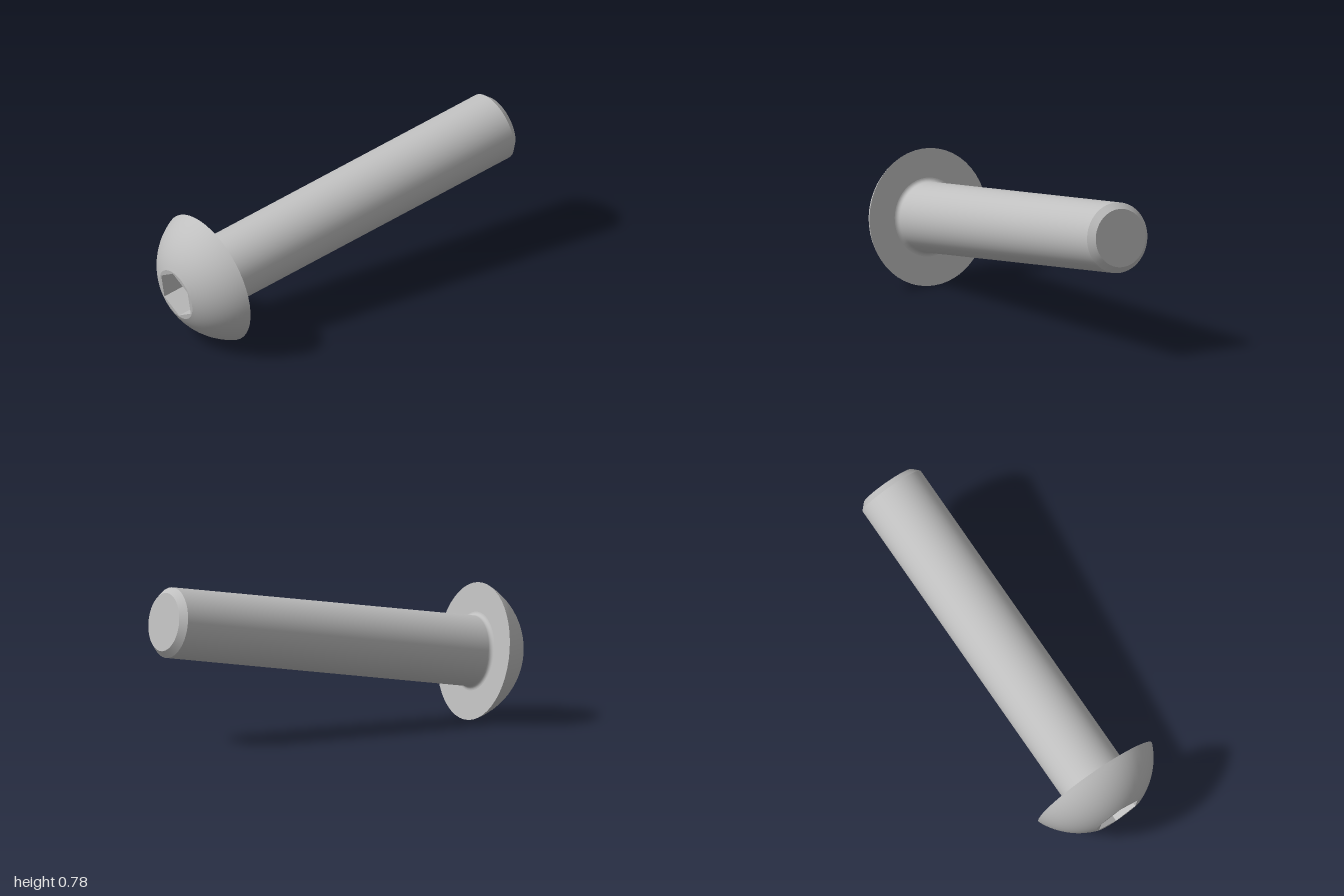
import * as THREE from 'three';

export function createModel() {
  const steel = new THREE.MeshStandardMaterial({ color: 0xbfbfbf, side: THREE.DoubleSide });
  steel.name = 'steel grey';

  const headR = 0.339, shaftR = 0.174, tipR = 0.1435, flatR = 0.132, hexR = 0.125;
  const domeR = 0.368, domeC = 0.143, length = 1.785, chamfer = 0.032, fillet = 0.02, depth = 0.135;
  const flatY = domeC - Math.sqrt(domeR ** 2 - flatR ** 2);

  // The screw is built along local +y, with the head's underside at y = 0
  const screw = new THREE.Group();
  screw.name = 'screw';
  const add = (name, geometry) => {
    const mesh = new THREE.Mesh(geometry, steel);
    mesh.name = name;
    screw.add(mesh);
  };
  const lathe = (name, pts) =>
    add(name, new THREE.LatheGeometry(pts.map(([r, y]) => new THREE.Vector2(r, y)), 48));

  // Domed head: a slice of a sphere
  const dome = [];
  const a0 = Math.asin(flatR / domeR), a1 = Math.acos(domeC / domeR);
  for (let i = 0; i <= 14; i++) {
    const a = a0 + (a1 - a0) * i / 14;
    dome.push([domeR * Math.sin(a), domeC - domeR * Math.cos(a)]);
  }
  lathe('headDome', dome);

  // Underside of the head
  lathe('headUnderside', [[headR, 0], [shaftR + fillet, 0]]);

  // Shaft with a small fillet where it meets the head
  const shaft = [];
  for (let i = 0; i <= 6; i++) {
    const a = (i / 6) * Math.PI / 2;
    shaft.push([shaftR + fillet * (1 - Math.sin(a)), fillet * (1 - Math.cos(a))]);
  }
  shaft.push([shaftR, length - chamfer]);
  lathe('shaft', shaft);

  // Chamfered tip
  lathe('tipChamfer', [[shaftR, length - chamfer], [tipR, length]]);
  lathe('tipFace', [[tipR, length], [0, length]]);

  // Flat end of the head with a hexagonal opening
  const end = new THREE.Shape().absarc(0, 0, flatR, 0, Math.PI * 2);
  const hex = [];
  for (let i = 0; i < 6; i++) {
    const a = -i * Math.PI / 3;
    hex.push(new THREE.Vector2(hexR * Math.cos(a), hexR * Math.sin(a)));
  }
  end.holes.push(new THREE.Path(hex));
  add('headEnd', new THREE.ShapeGeometry(end, 48).rotateX(Math.PI / 2).translate(0, flatY, 0));

  // Hexagonal socket: walls and floor
  const walls = new THREE.CylinderGeometry(hexR, hexR, depth, 6, 1, true)
    .rotateY(Math.PI / 2).translate(0, flatY + depth / 2, 0).toNonIndexed();
  walls.computeVertexNormals();
  add('socketWalls', walls);
  add('socketFloor', new THREE.CircleGeometry(hexR, 6).rotateX(Math.PI / 2).translate(0, flatY + depth, 0));

  // Tilt the axis so the tip points right, slightly up and back
  const axis = new THREE.Vector3(1, 0.157, -0.088).normalize();
  const up = new THREE.Vector3(0, 1, 0).addScaledVector(axis, -axis.y).normalize();
  const side = new THREE.Vector3().crossVectors(up, axis);
  screw.quaternion.setFromRotationMatrix(new THREE.Matrix4().makeBasis(up, axis, side));
  screw.position.set(-0.783, 0.336, 0);

  const model = new THREE.Group();
  model.name = 'buttonHeadScrew';
  model.add(screw);
  return model;
}
